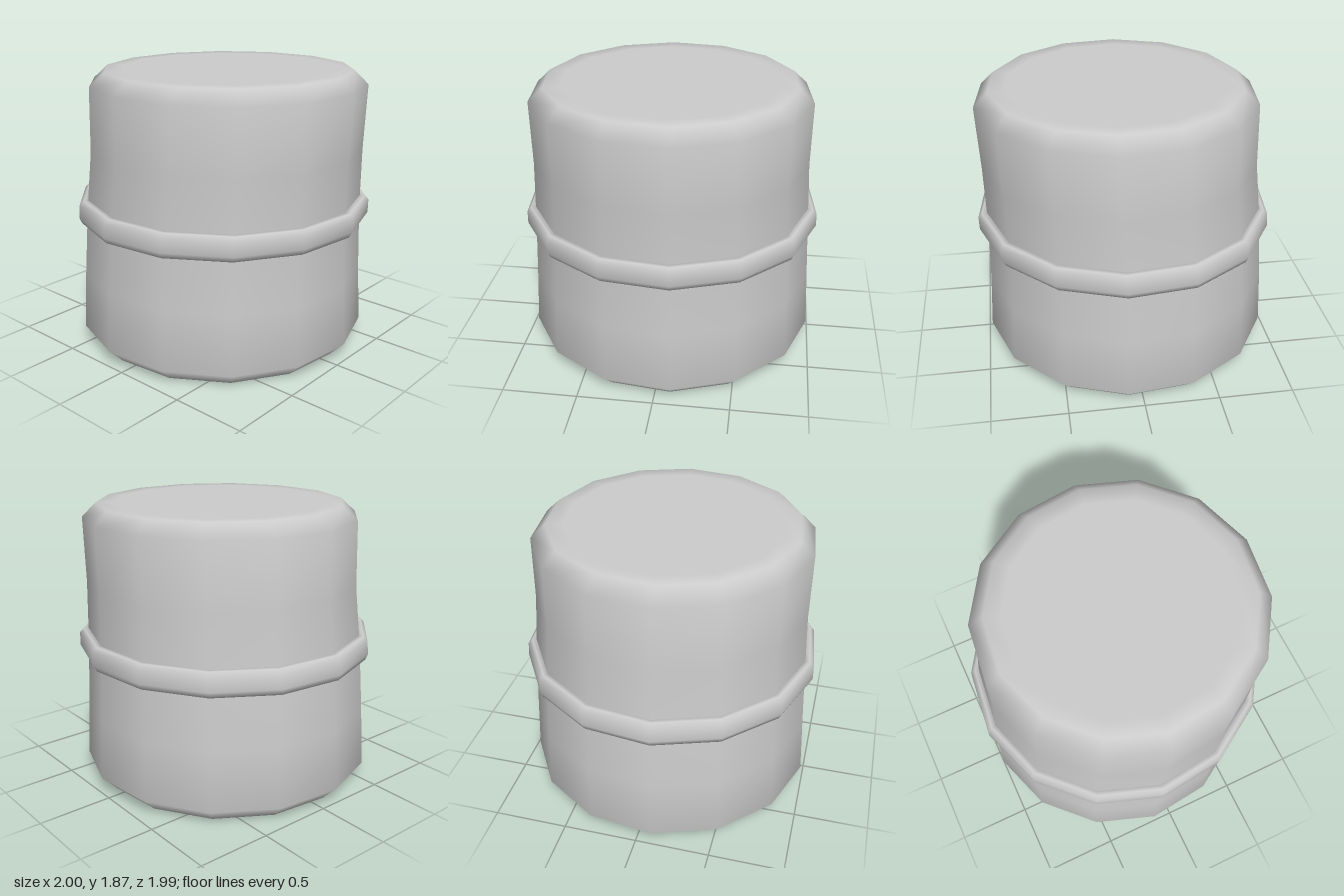
import * as THREE from 'three';

const SIDES = 14;
const TURN = -0.11; // slight rotation of the polygon about y

// Smooth skin over 14-sided loops given as [y, radius, centre x], listed bottom to top.
function loft(loops, closed) {
  const pos = [], index = [];
  for (const [y, r, cx] of loops) {
    for (let i = 0; i < SIDES; i++) {
      const a = TURN + (i / SIDES) * Math.PI * 2;
      pos.push(cx + r * Math.cos(a), y, r * Math.sin(a));
    }
  }
  const n = loops.length;
  const rows = closed ? n : n - 1;
  for (let j = 0; j < rows; j++) {
    const k = (j + 1) % n;
    for (let i = 0; i < SIDES; i++) {
      const h = (i + 1) % SIDES;
      const a = j * SIDES + i, b = j * SIDES + h;
      const c = k * SIDES + i, d = k * SIDES + h;
      index.push(a, c, b, b, c, d);
    }
  }
  if (!closed) {
    // flat end caps, fanned from a centre point
    const bottom = pos.length / 3, top = bottom + 1, last = (n - 1) * SIDES;
    pos.push(loops[0][2], loops[0][0], 0, loops[n - 1][2], loops[n - 1][0], 0);
    for (let i = 0; i < SIDES; i++) {
      const h = (i + 1) % SIDES;
      index.push(bottom, i, h, top, last + h, last + i);
    }
  }
  const g = new THREE.BufferGeometry();
  g.setAttribute('position', new THREE.Float32BufferAttribute(pos, 3));
  g.setIndex(index);
  g.computeVertexNormals();
  return g;
}

export function createModel() {
  const group = new THREE.Group();
  const material = new THREE.MeshStandardMaterial({ color: 0xcccccc });
  const add = (name, geometry) => {
    const mesh = new THREE.Mesh(geometry, material);
    mesh.name = name;
    group.add(mesh);
  };

  // Leaning, tapered body with chamfered rims
  add('body', loft([
    [0, 0.78, -0.012],
    [0, 0.893, -0.012],
    [0.1, 0.993, -0.012],
    [0.5, 0.97, -0.012],
    [0.95, 0.945, 0],
    [1.35, 0.923, 0.028],
    [1.78, 0.925, 0.045],
    [1.87, 0.83, 0.05],
    [1.87, 0.72, 0.05],
  ], false));

  // Raised band around the middle
  add('band', loft([
    [0.86, 0.9, -0.004],
    [0.86, 0.983, -0.004],
    [0.9, 1.003, 0],
    [0.99, 1.0, 0.006],
    [1.02, 0.972, 0.008],
    [1.02, 0.9, 0.008],
  ], true));

  return group;
}
